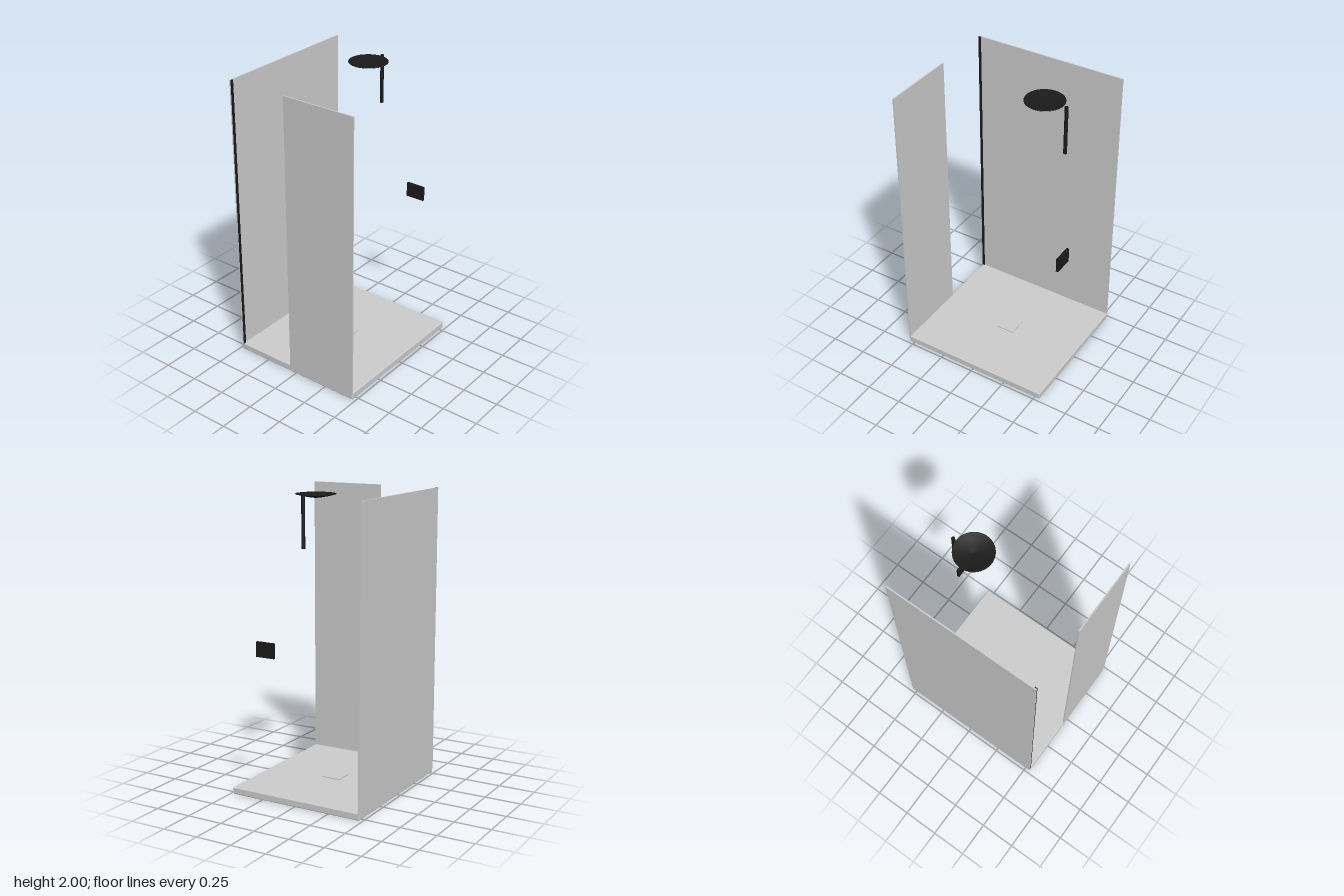
import * as THREE from 'three';
import { RoundedBoxGeometry } from 'three/addons/geometries/RoundedBoxGeometry.js';

export function createModel() {
  const model = new THREE.Group();
  const lightGrey = new THREE.MeshStandardMaterial({ color: 0xcccccc });
  lightGrey.name = 'lightGrey';
  const black = new THREE.MeshStandardMaterial({ color: 0x1a1a1a });
  black.name = 'black';

  const add = (name, geometry, material, x = 0, y = 0, z = 0) => {
    const mesh = new THREE.Mesh(geometry, material);
    mesh.name = name;
    mesh.position.set(x, y, z);
    model.add(mesh);
    return mesh;
  };
  // Box given by its limits on each axis
  const box = (name, material, [x0, x1], [y0, y1], [z0, z1]) =>
    add(name, new THREE.BoxGeometry(x1 - x0, y1 - y0, z1 - z0), material,
      (x0 + x1) / 2, (y0 + y1) / 2, (z0 + z1) / 2);

  const W = 0.48, D = 0.5375, TOP = 2, TRAY = 0.048, GLASS = 0.009;

  // Shower tray with softly rounded edges, and its square drain cover
  add('tray', new RoundedBoxGeometry(W * 2, TRAY, D * 2, 3, 0.007), lightGrey, 0, TRAY / 2, 0);
  box('drainCover', lightGrey, [-0.067, 0.067], [TRAY - 0.005, 0.055], [-0.067, 0.067]);

  // Glass screens
  box('sidePanel', lightGrey, [-W, -W + GLASS], [0.042, TOP], [-D, D]);
  box('frontPanel', lightGrey, [-0.048, W], [0.042, TOP], [D - GLASS, D]);

  // Dark seal on the inner front edge of the side screen
  box('doorSeal', black, [-W + GLASS, -W + GLASS + 0.006], [TRAY - 0.002, TOP], [D - 0.017, D]);

  // Shallow dished shower head, tapering downwards
  const profile = [
    [0, 1.972], [0.05, 1.979], [0.1, 1.989], [0.13, 1.997],
    [0.13, 2], [0.127, 2], [0.09, 1.993], [0.05, 1.987], [0, 1.983],
  ].map(([r, y]) => new THREE.Vector2(r, y));
  add('showerHead', new THREE.LatheGeometry(profile, 48), black, 0, 0, -0.252);

  // Hand shower rod
  add('handShower', new THREE.CylinderGeometry(0.012, 0.012, 0.333, 20), black, 0, 1.8335, -0.404);

  // Wall control
  box('control', black, [0.144, 0.279], [0.968, 1.068], [-D, -D + 0.017]);

  return model;
}
